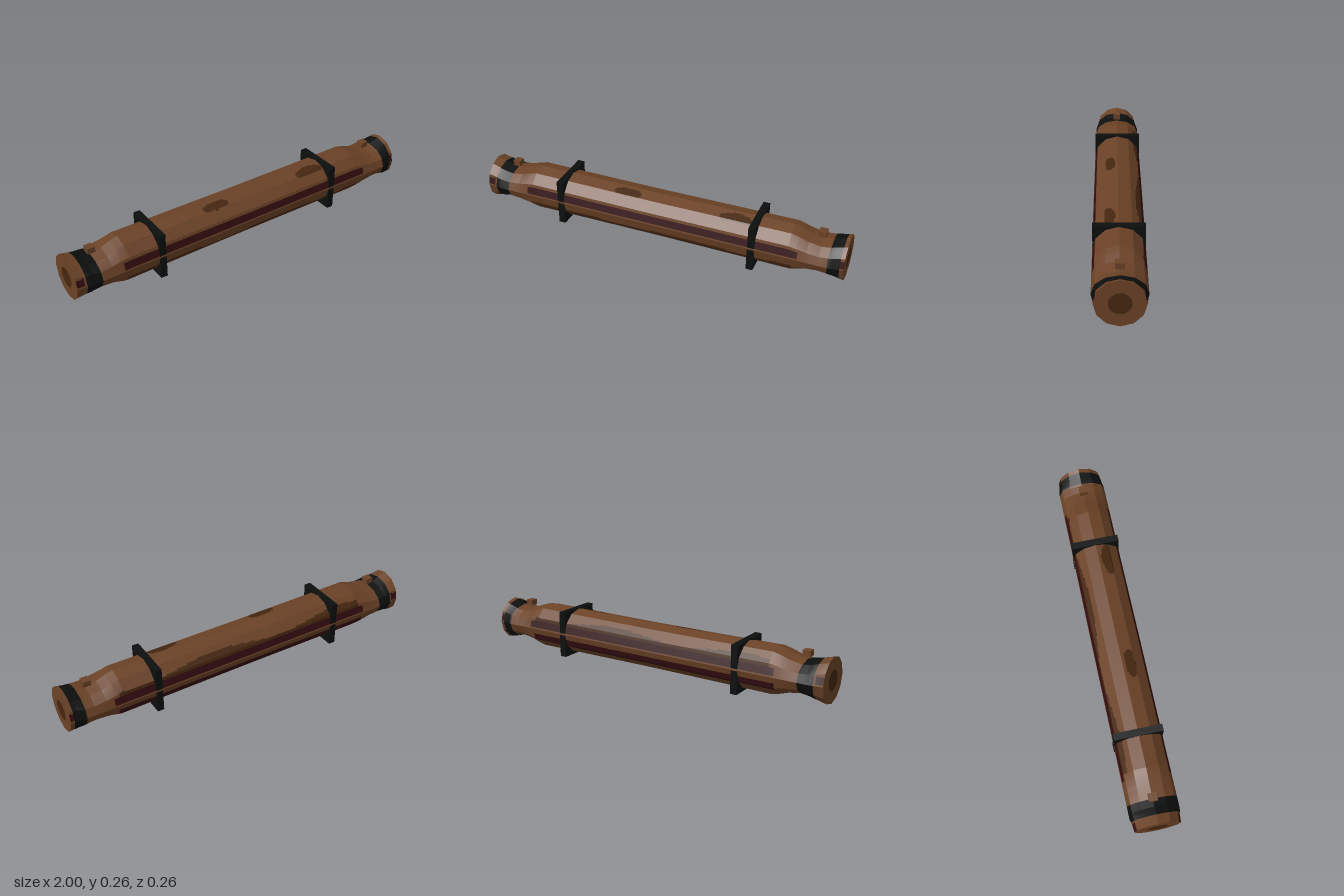
import * as THREE from 'three';

const make = (name, color, opts = {}) => {
  const m = new THREE.MeshStandardMaterial({ color, ...opts });
  m.name = name;
  return m;
};

const CY = 0.128;
const SIDES = 12, SUB = 8, STEPS = 200;

// half-height and half-depth along the length
const HEIGHT = [[0, 0.12], [0.5, 0.123], [0.72, 0.125], [0.76, 0.113], [0.81, 0.094], [0.87, 0.083], [0.91, 0.089], [0.95, 0.102], [1, 0.118]];
const DEPTH = [[0, 0.129], [0.6, 0.128], [0.93, 0.128], [0.96, 0.122], [1, 0.118]];

function sample(table, x) {
  const ax = Math.min(Math.abs(x), 1);
  for (let i = 1; i < table.length; i++) {
    const [x0, v0] = table[i - 1], [x1, v1] = table[i];
    if (ax <= x1) return v0 + (v1 - v0) * (ax - x0) / (x1 - x0);
  }
  return table[table.length - 1][1];
}

// point on the twelve-sided section at station i, sub-step j
function bodyPoint(i, j) {
  const x = -1 + 2 * i / STEPS;
  const f = Math.floor(j / SUB), t = (j % SUB) / SUB;
  const a0 = f * 2 * Math.PI / SIDES, a1 = (f + 1) * 2 * Math.PI / SIDES;
  const c = Math.cos(a0) * (1 - t) + Math.cos(a1) * t;
  const s = Math.sin(a0) * (1 - t) + Math.sin(a1) * t;
  return [x, CY + sample(HEIGHT, x) * s, sample(DEPTH, x) * c];
}

const inside = (v, a, b) => v > a && v < b;
// elongated patch with pointed ends
const patch = (x, y, x0, x1, yc, h) => {
  const u = (2 * x - x0 - x1) / (x1 - x0);
  return Math.abs(u) < 1 && Math.abs(y - yc) < h * Math.sqrt(1 - u * u);
};

// 0 wood, 1 dark wood, 2 dark red, 3 black
function paint(x, y, z) {
  if (inside(x, -0.95, -0.867) || inside(x, 0.92, 0.98)) return 3;
  const front = z > 0;
  if (inside(x, -0.75, 0.77) && inside(y, 0.136, 0.172)) return 2;
  if (!front && inside(x, -0.75, 0.75) && inside(y, 0.058, 0.096)) return 2;
  if (Math.abs(x) > 0.955 && inside(y, 0.135, 0.172)) return 2;
  if (front) {
    if (patch(x, y, -0.25, -0.1, 0.238, 0.008) || patch(x, y, 0.34, 0.52, 0.236, 0.01)) return 1;
    if (inside(x, -0.74, 0.74) && inside(y, 0.052, 0.08 + 0.004 * Math.sin(x * 9))) return 1;
  } else if (inside(x, -0.72, 0.74) && inside(y, 0.172, 0.2 + 0.012 * Math.sin(x * 8))) return 1;
  return 0;
}

function bodyGeometry() {
  const buckets = [[], [], [], []];
  for (let i = 0; i < STEPS; i++) {
    for (let j = 0; j < SIDES * SUB; j++) {
      const a = bodyPoint(i, j), b = bodyPoint(i + 1, j);
      const c = bodyPoint(i + 1, j + 1), d = bodyPoint(i, j + 1);
      const mid = [0, 1, 2].map(k => (a[k] + b[k] + c[k] + d[k]) / 4);
      buckets[paint(...mid)].push(...a, ...b, ...c, ...a, ...c, ...d);
    }
  }
  const geo = new THREE.BufferGeometry();
  let start = 0;
  buckets.forEach((list, k) => {
    geo.addGroup(start, list.length / 3, k);
    start += list.length / 3;
  });
  geo.setAttribute('position', new THREE.Float32BufferAttribute(buckets.flat(), 3));
  geo.computeVertexNormals();
  return geo;
}

export function createModel() {
  const wood = make('wood', 0x6b4226);
  const darkWood = make('darkWood', 0x45260f);
  const darkRed = make('darkRed', 0x330c10);
  const black = make('black', 0x0d0e0e);

  const group = new THREE.Group();
  const add = (name, geo, mat, x, y, z) => {
    const m = new THREE.Mesh(geo, mat);
    m.name = name;
    m.position.set(x, y, z);
    group.add(m);
    return m;
  };

  // necked shaft with painted stripes and bands
  add('shaft', bodyGeometry(), [wood, darkWood, darkRed, black], 0, 0, 0);

  for (const s of [-1, 1]) {
    const side = s < 0 ? 'right' : 'left';
    // flat end with its dark centre
    add(side + 'EndCap', new THREE.CircleGeometry(0.118, SIDES), wood, s, CY, 0).rotation.y = s * Math.PI / 2;
    add(side + 'EndCore', new THREE.CircleGeometry(0.053, 24), darkWood, s * 1.001, CY, 0).rotation.y = s * Math.PI / 2;
    // square collar
    add(side + 'Collar', new THREE.BoxGeometry(0.036, 0.254, 0.253), black, s < 0 ? -0.541 : 0.533, 0.127, 0);
    // small peg above the neck
    add(side + 'Peg', new THREE.BoxGeometry(0.04, 0.03, 0.042), wood, s < 0 ? -0.868 : 0.862, 0.241, 0);
  }
  return group;
}
